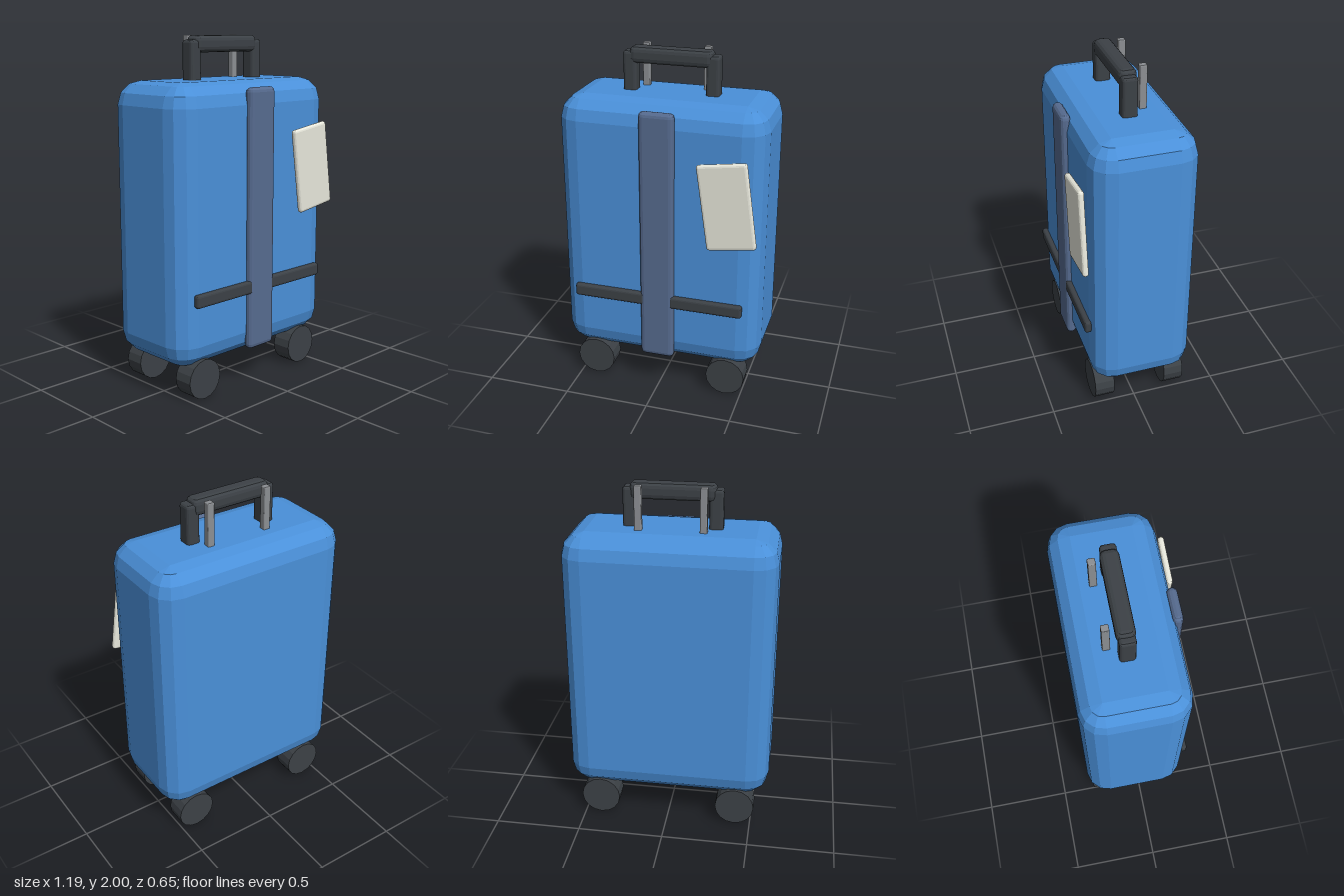
import * as THREE from 'three';

const mat = (color) => new THREE.MeshStandardMaterial({ color, flatShading: true });

// Box spanning min..max with every edge rounded by radius r in n facets
function bevelBox(min, max, r, n = 3) {
  const lo = new THREE.Vector3(...min), hi = new THREE.Vector3(...max);
  const centre = lo.clone().add(hi).multiplyScalar(0.5);
  const inner = hi.clone().sub(lo).multiplyScalar(0.5).subScalar(r);
  const rings = [[new THREE.Vector3(0, inner.y + r, 0)]];
  // Rounded-rectangle rings from top to bottom
  for (const sy of [1, -1]) {
    for (let i = 0; i <= n; i++) {
      const lat = (sy > 0 ? n - i : -i) / n * Math.PI / 2;
      const ring = [];
      for (let q = 0; q < 4; q++) {
        const sx = q === 0 || q === 3 ? 1 : -1, sz = q < 2 ? 1 : -1;
        for (let j = 0; j <= n; j++) {
          const a = (q + j / n) * Math.PI / 2;
          ring.push(new THREE.Vector3(
            sx * inner.x + r * Math.cos(lat) * Math.cos(a),
            sy * inner.y + r * Math.sin(lat),
            sz * inner.z + r * Math.cos(lat) * Math.sin(a)));
        }
      }
      rings.push(ring);
    }
  }
  rings.push([new THREE.Vector3(0, -inner.y - r, 0)]);
  const pos = [];
  const tri = (a, b, c) => {
    if (new THREE.Triangle(a, b, c).getArea() < 1e-9) return;
    for (const p of [a, b, c]) pos.push(p.x + centre.x, p.y + centre.y, p.z + centre.z);
  };
  const at = (ring, j) => ring[j % ring.length];
  const count = 4 * (n + 1);
  for (let i = 0; i < rings.length - 1; i++) {
    for (let j = 0; j < count; j++) {
      const a = at(rings[i], j), b = at(rings[i], j + 1);
      const c = at(rings[i + 1], j + 1), d = at(rings[i + 1], j);
      tri(a, b, c);
      tri(a, c, d);
    }
  }
  const g = new THREE.BufferGeometry();
  g.setAttribute('position', new THREE.Float32BufferAttribute(pos, 3));
  g.computeVertexNormals();
  return g;
}

export function createModel() {
  const model = new THREE.Group();
  model.name = 'suitcase';
  const blue = mat(0x4a90d9), slate = mat(0x566b8f), dark = mat(0x3c4146);
  const steel = mat(0x8c8f93), cream = mat(0xe8e8dc);

  const add = (name, geometry, material) => {
    const mesh = new THREE.Mesh(geometry, material);
    mesh.name = name;
    model.add(mesh);
    return mesh;
  };

  // Shell and front strap
  add('shell', bevelBox([-0.597, 0.19, -0.33], [0.597, 1.755, 0.265], 0.13), blue);
  add('strap', bevelBox([-0.1, 0.22, 0.24], [0.1, 1.72, 0.298], 0.027), slate);

  // Carry handle grip
  add('handleGrip', bevelBox([-0.24, 1.905, -0.083], [0.238, 2, 0.017], 0.03), dark);

  // Parts mirrored left and right
  for (const s of [1, -1]) {
    const side = s > 0 ? 'left' : 'right';
    const box = (x0, x1, y0, y1, z0, z1, r) => bevelBox(
      [Math.min(s * x0, s * x1), y0, z0], [Math.max(s * x0, s * x1), y1, z1], r);

    add(side + 'HandlePost', box(0.2, 0.277, 1.7, 1.975, -0.075, 0.012, 0.018), dark);
    add(side + 'TelescopicRod', box(0.159, 0.199, 1.6, 2, -0.149, -0.108, 0.006), steel);
    add(side + 'FrontBar', box(0.077, 0.502, 0.553, 0.627, 0.258, 0.297, 0.014), dark);

    // Wheels, with axles running front to back
    for (const [end, z] of [['Front', 0.186], ['Back', -0.244]]) {
      const wheel = new THREE.CylinderGeometry(0.115, 0.115, 0.117, 16);
      wheel.rotateX(Math.PI / 2);
      add(side + end + 'Wheel', wheel, dark).position.set(s * 0.405, 0.115, z);
    }
  }

  // Tilted luggage tag
  const tag = add('luggageTag',
    bevelBox([-0.141, -0.248, -0.0175], [0.141, 0.248, 0.0175], 0.016), cream);
  tag.position.set(0.405, 1.235, 0.307);
  tag.rotation.z = 0.14;

  return model;
}
